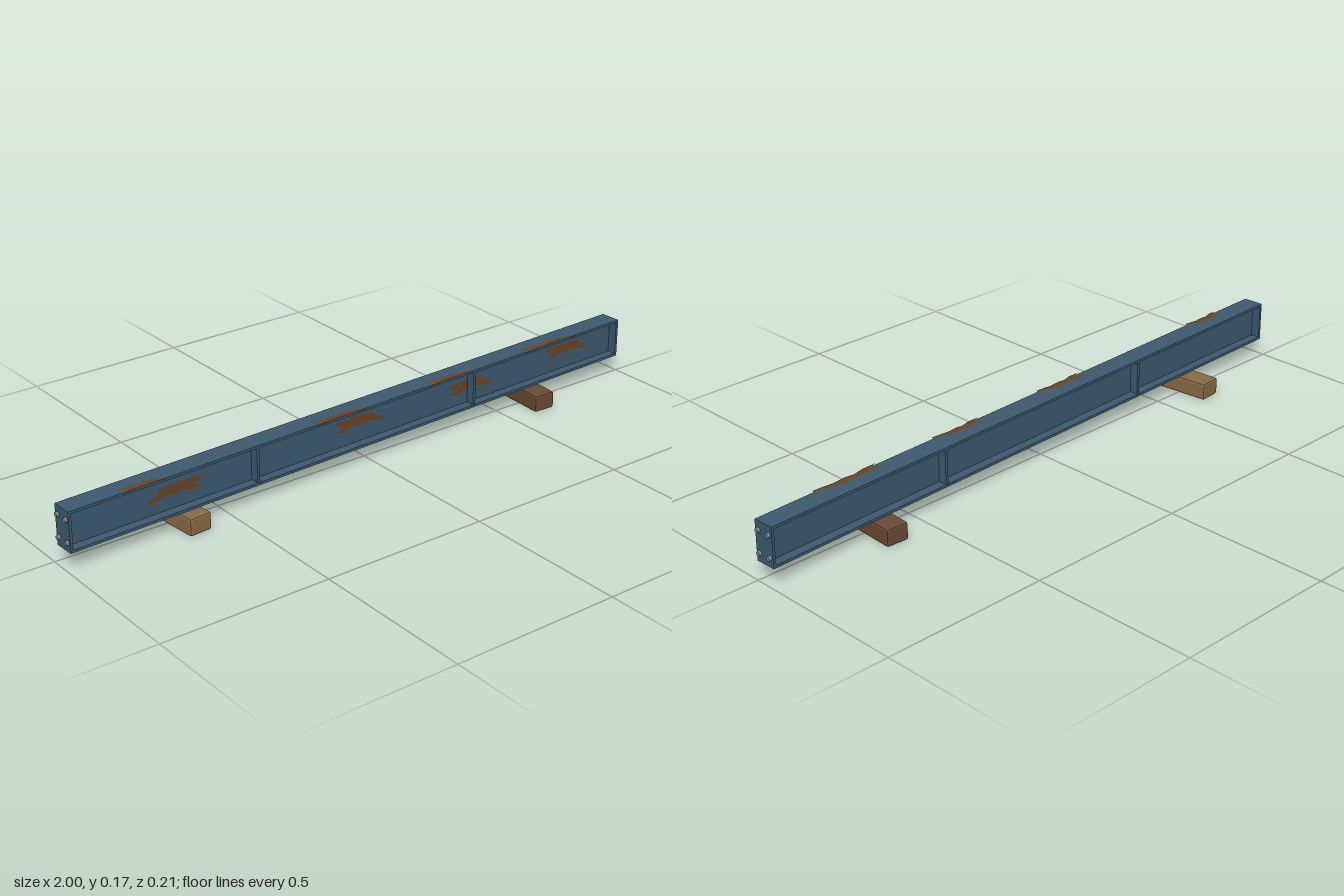
import * as THREE from 'three';
import { RoundedBoxGeometry } from 'three/addons/geometries/RoundedBoxGeometry.js';

const mat = (name, color) => new THREE.MeshStandardMaterial({ name, color });

export function createModel() {
  const steel = mat('blue steel paint', 0x3d5a70);
  const rust = mat('rust', 0x6b4423);
  const bolt = mat('bolt grey', 0x80868a);
  const paleWood = mat('pale wood', 0x8a6a45);
  const darkWood = mat('dark wood', 0x6a4a33);
  rust.side = THREE.DoubleSide;

  const model = new THREE.Group();
  model.name = 'beamOnBlocks';

  const add = (parent, name, geometry, material, x, y, z) => {
    const mesh = new THREE.Mesh(geometry, material);
    mesh.name = name;
    mesh.position.set(x, y, z);
    parent.add(mesh);
    return mesh;
  };

  // Beam, slightly turned on its supports; local y = 0 is its mid height
  const beam = new THREE.Group();
  beam.name = 'beam';
  beam.position.set(0, 0.112, 0.008);
  beam.rotation.y = 0.0349;
  model.add(beam);

  const W = 0.064, H = 0.119, T = 0.008, END = 0.993;
  const innerH = H - 2 * T;
  add(beam, 'web', new THREE.BoxGeometry(2 * END - 0.016, innerH, 0.008), steel, 0, 0, 0);
  for (const s of [1, -1]) {
    add(beam, s > 0 ? 'topFlange' : 'bottomFlange',
      new THREE.BoxGeometry(2 * END - 0.016, T, W), steel, 0, s * (H - T) / 2, 0);
  }

  // Stiffener plates on both sides of the web
  for (const x of [-0.4, 0.39]) {
    for (const s of [1, -1]) {
      add(beam, 'stiffener', new THREE.BoxGeometry(0.009, innerH, 0.026), steel, x, 0, s * 0.017);
    }
  }

  // End plates with four bolts each
  const boltGeo = new THREE.CylinderGeometry(0.0065, 0.0075, 0.007, 12).rotateZ(-Math.PI / 2);
  for (const s of [1, -1]) {
    add(beam, 'endPlate', new THREE.BoxGeometry(0.008, H, W), steel, s * (END - 0.004), 0, 0);
    for (const y of [-0.033, 0.033]) {
      for (const z of [-0.02, 0.02]) {
        const b = add(beam, 'bolt', boltGeo, bolt, s * (END + 0.0035), y, z);
        if (s < 0) b.rotation.y = Math.PI;
      }
    }
  }

  // Ragged rust patches: a broad band with a drooping tail
  const outline = [
    [-0.092, 0.012], [-0.075, 0.02], [0.03, 0.02], [0.055, 0.013], [0.06, 0.002],
    [0.09, -0.006], [0.088, -0.018], [0.06, -0.014], [0.035, -0.008], [0.0, -0.012],
    [-0.02, -0.006], [-0.05, -0.017], [-0.085, -0.015], [-0.055, 0.0], [-0.07, 0.006],
  ];
  const rustGeo = new THREE.ShapeGeometry(
    new THREE.Shape(outline.map(([x, y]) => new THREE.Vector2(x, y))));

  const webPatches = [[-0.65, 0.0, -1], [-0.03, 0.009, 1], [0.395, 0.0, 1], [0.795, 0.009, 1]];
  for (const [x, y, flip] of webPatches) {
    add(beam, 'webRust', rustGeo, rust, x, y, 0.0055).scale.x = flip;
  }

  // Rust along the front edge of the top flange
  for (const [x, len] of [[-0.77, 0.8], [-0.12, 1], [0.29, 1], [0.69, 1.25]]) {
    const p = add(beam, 'flangeRust', rustGeo, rust, x, H / 2 + 0.0012, 0.026);
    p.rotation.x = -Math.PI / 2;
    p.scale.set(len, 0.65, 1);
  }

  // Chamfered timber supports
  const blockGeo = new RoundedBoxGeometry(0.07, 0.052, 0.194, 1, 0.006);
  blockGeo.computeVertexNormals();
  add(model, 'leftTimber', blockGeo, darkWood, 0.623, 0.026, -0.011).rotation.y = -0.05;
  add(model, 'rightTimber', blockGeo, paleWood, -0.628, 0.026, 0.006).rotation.y = 0.09;

  return model;
}
